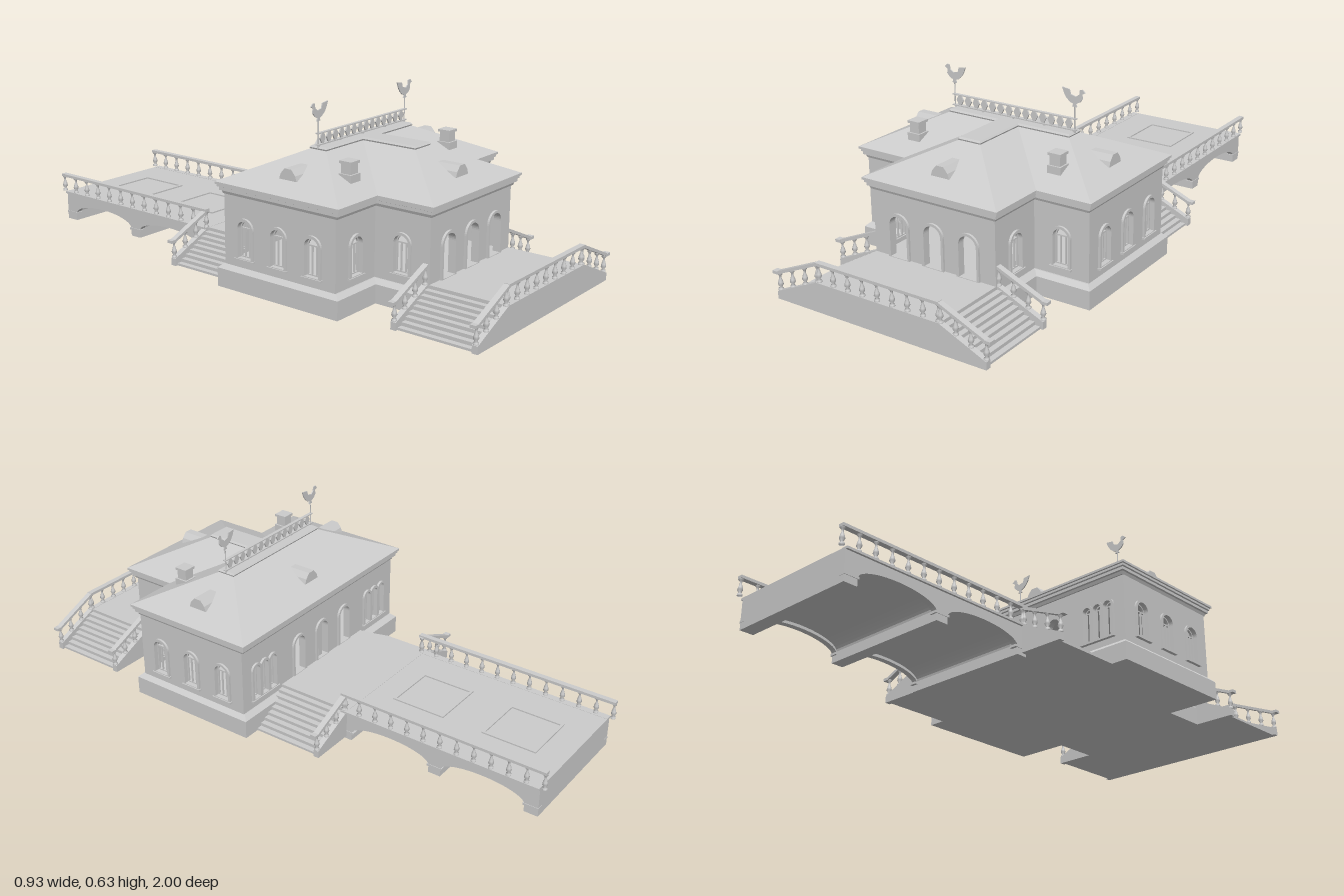
import * as THREE from 'three';

const mat = new THREE.MeshStandardMaterial({ color: 0xcccccc, side: THREE.DoubleSide });
const V = (x, y, z) => new THREE.Vector3(x, y, z);

function add(parent, name, geo, x = 0, y = 0, z = 0) {
  const m = new THREE.Mesh(geo, mat);
  m.name = name;
  m.position.set(x, y, z);
  parent.add(m);
  return m;
}
const box = (p, name, w, h, d, x, y, z) => add(p, name, new THREE.BoxGeometry(w, h, d), x, y, z);
const poly = pts => new THREE.Shape(pts.map(p => new THREE.Vector2(...p)));
const extrude = (shape, depth) =>
  new THREE.ExtrudeGeometry(shape, { depth, bevelEnabled: false, curveSegments: 10 });

// Square bar running from a to b
function bar(p, name, a, b, w, h) {
  const m = box(p, name, w, h, a.distanceTo(b), 0, 0, 0);
  m.position.copy(a).lerp(b, 0.5);
  m.lookAt(b);
}

// T-shaped footprint, inset by d from the eaves
function footprint(d) {
  const mx = 0.465 - d, wx = 0.265 - d, back = -0.02 - d, front = -0.53 + d, wing = -0.74 + d;
  return [[-wx, wing], [wx, wing], [wx, front], [mx, front], [mx, back], [-mx, back], [-mx, front], [-wx, front]]
    .map(p => new THREE.Vector2(...p));
}

// Solid through T footprints, levels = [height, inset]
function loft(levels) {
  const pos = [], rings = levels.map(([y, d]) => footprint(d).map(p => V(p.x, y, -p.y)));
  const tri = (...vs) => vs.forEach(v => pos.push(v.x, v.y, v.z));
  for (let k = 0; k + 1 < rings.length; k++) {
    const a = rings[k], b = rings[k + 1];
    for (let i = 0; i < 8; i++) {
      const j = (i + 1) % 8;
      tri(a[i], a[j], b[j]);
      tri(a[i], b[j], b[i]);
    }
  }
  const top = rings[rings.length - 1], low = rings[0];
  for (const [a, b, c] of THREE.ShapeUtils.triangulateShape(footprint(levels[levels.length - 1][1]), []))
    tri(top[a], top[b], top[c]);
  for (const [a, b, c] of THREE.ShapeUtils.triangulateShape(footprint(levels[0][1]), []))
    tri(low[c], low[b], low[a]);
  const g = new THREE.BufferGeometry();
  g.setAttribute('position', new THREE.Float32BufferAttribute(pos, 3));
  g.computeVertexNormals();
  return g;
}

// Round-headed outline, e = growth on all sides
function arch(P, x, w, y0, y1, e = 0) {
  const r = w / 2 + e, s = new P();
  s.moveTo(x - r, y0 - e);
  s.lineTo(x + r, y0 - e);
  s.lineTo(x + r, y1 - w / 2);
  s.absarc(x, y1 - w / 2, r, 0, Math.PI, false);
  s.lineTo(x - r, y0 - e);
  return s;
}

// Wall with arched openings, outer face on local z = 0
function wall(parent, name, length, x, z, turn, openings) {
  const g = new THREE.Group();
  g.name = name;
  g.position.set(x, 0, z);
  g.rotation.y = turn;
  parent.add(g);
  const h = length / 2;
  const s = poly([[-h, 0.085], [h, 0.085], [h, 0.345], [-h, 0.345]]);
  for (const [ox, w, y0, y1, glazed] of openings) {
    s.holes.push(arch(THREE.Path, ox, w, y0, y1));
    const surround = arch(THREE.Shape, ox, w, y0, y1, 0.009);
    surround.holes.push(arch(THREE.Path, ox, w, y0, y1));
    add(g, 'surround', extrude(surround, 0.008));
    if (!glazed) continue;
    const sash = arch(THREE.Shape, ox, w, y0, y1);
    sash.holes.push(arch(THREE.Path, ox, w, y0, y1, -0.004));
    add(g, 'sash', extrude(sash, 0.006), 0, 0, -0.015);
    const spring = y1 - w / 2;
    box(g, 'transom', w, 0.005, 0.006, ox, spring, -0.012);
    for (const k of w > 0.05 ? [-1, 1] : [0])
      box(g, 'mullion', 0.004, spring - y0, 0.006, ox + k * w / 6, (spring + y0) / 2, -0.012);
    box(g, 'sill', w + 0.024, 0.007, 0.012, ox, y0 - 0.006, 0.006);
  }
  add(g, 'wallPanel', extrude(s, 0.02), 0, 0, -0.02);
}

const balusterGeo = new THREE.LatheGeometry(
  [[0.009, 0], [0.009, 0.006], [0.004, 0.01], [0.0095, 0.02], [0.008, 0.028], [0.0035, 0.042], [0.004, 0.05], [0.008, 0.054], [0.008, 0.06]]
    .map(p => new THREE.Vector2(...p)), 8);

// Handrail with n evenly spaced balusters; a and b lie on the base line
function balustrade(p, a, b, n, skipFirst = false) {
  const up = V(0, 0.063, 0);
  bar(p, 'handrail', a.clone().add(up), b.clone().add(up), 0.02, 0.01);
  for (let i = skipFirst ? 1 : 0; i < n; i++) {
    const q = a.clone().lerp(b, (i + 0.1) / (n - 0.8));
    add(p, 'baluster', balusterGeo, q.x, q.y, q.z);
  }
}

// Platform with a flight of steps down both sides
function terrace(p, name, z0, z1) {
  const n = 8, right = [[0.4, 0.01]];
  for (let i = n; i > 0; i--) {
    const x = 0.24 + 0.16 * i / n, y = 0.11 - 0.092 * i / n;
    right.push([x, y], [x - 0.16 / n, y]);
  }
  right.push([0.24, 0.11]);
  const left = right.map(([x, y]) => [-x, y]).reverse();
  add(p, name, extrude(poly([...right, ...left]), z1 - z0), 0, 0, z0);
}

// Stair parapet with sloping rails on both sides
function stairParapet(p, z) {
  add(p, 'stairParapet', extrude(poly([[-0.41, 0.01], [0.41, 0.01], [0.41, 0.036], [0.24, 0.111], [-0.24, 0.111], [-0.41, 0.036]]), 0.02), 0, 0, z - 0.01);
  for (const s of [-1, 1]) {
    balustrade(p, V(s * 0.235, 0.111, z), V(s * 0.41, 0.036, z), 4);
    box(p, 'railEnd', 0.022, 0.01, 0.022, s * 0.415, 0.1, z);
  }
}

// Bridge section along z, with two arches
function bridgeShape(spring, rise) {
  const s = new THREE.Shape();
  s.moveTo(-0.98, 0);
  for (const z of [-0.93, -0.575]) {
    s.lineTo(z, 0);
    s.lineTo(z, spring);
    s.absellipse(z + 0.155, spring, 0.155, rise, Math.PI, 0, true);
    s.lineTo(z + 0.31, 0);
  }
  s.lineTo(-0.225, 0);
  s.lineTo(-0.225, 0.11);
  s.lineTo(-0.98, 0.11);
  return s;
}

export function createModel() {
  const model = new THREE.Group();
  model.name = 'pavilion';

  // Plinth, cornice and roof
  add(model, 'plinth', loft([[0.01, 0.004], [0.075, 0.004], [0.09, 0.02], [0.09, 0.03], [0.11, 0.03]]));
  add(model, 'cornice', loft([[0.33, 0.02], [0.34, 0.016], [0.342, 0.01], [0.352, 0.01], [0.354, 0.005], [0.362, 0.005], [0.363, 0]]));
  add(model, 'roof', loft([[0.363, 0], [0.371, 0], [0.48, 0.235]]));
  add(model, 'ridgeCap', loft([[0.474, 0.222], [0.479, 0.22], [0.485, 0.225]]));

  // Walls
  const win = x => [x, 0.056, 0.125, 0.252, true];
  const door = (x, w) => [x, w, 0.112, 0.256, false];
  wall(model, 'wingFrontWall', 0.48, 0, 0.715, 0, [-0.138, 0, 0.138].map(x => door(x, 0.068)));
  const rear = [-0.135, 0, 0.135].map(x => door(x, 0.058));
  for (const x of [0.285, 0.33, 0.375])
    for (const s of [-1, 1]) rear.push([s * x, 0.032, 0.125, 0.252, true]);
  wall(model, 'backWall', 0.89, 0, 0.045, Math.PI, rear);
  box(model, 'rearDoorPost', 0.02, 0.14, 0.01, 0, 0.18, 0.055);
  for (const s of [-1, 1]) {
    wall(model, 'mainFrontWall', 0.205, s * 0.3425, 0.505, 0, [win(0)]);
    wall(model, 'sideWall', 0.46, s * 0.445, 0.275, s * Math.PI / 2, [-0.14, 0, 0.14].map(win));
    wall(model, 'wingSideWall', 0.21, s * 0.24, 0.61, s * Math.PI / 2, [win(0)]);
  }

  // Dormers: half-round vents on the four slopes
  const dormerGeo = extrude(poly([[-0.036, 0], [0.036, 0], [0.03, 0.018], [0.014, 0.037], [-0.014, 0.037], [-0.03, 0.018]]), 0.09);
  for (const [x, z, turn] of [[0, 0.672, 0], [0, 0.088, Math.PI], [0.397, 0.275, Math.PI / 2], [-0.397, 0.275, -Math.PI / 2]]) {
    const d = add(model, 'dormer', dormerGeo.clone().translate(0, 0, -0.09), x, 0.404, z);
    d.rotation.y = turn;
  }

  // Chimneys
  for (const s of [-1, 1]) {
    box(model, 'chimneyBase', 0.05, 0.028, 0.05, s * 0.282, 0.417, 0.432);
    box(model, 'chimneyShaft', 0.038, 0.06, 0.038, s * 0.282, 0.44, 0.432);
    box(model, 'chimneyCap', 0.048, 0.009, 0.048, s * 0.282, 0.469, 0.432);
  }

  // Ridge balustrade with diamond-shaped pickets
  const rz = 0.275;
  for (const y of [0.491, 0.529]) box(model, 'ridgeRail', 0.5, 0.004, 0.012, 0, y, rz);
  const picket = extrude(poly([[-0.005, 0], [0.005, 0], [0.014, 0.018], [0.005, 0.035], [-0.005, 0.035], [-0.014, 0.018]]), 0.005);
  for (let i = 0; i < 14; i++) add(model, 'ridgePicket', picket, -0.221 + i * 0.034, 0.493, rz - 0.0025);
  for (const x of [-0.24, -0.125, 0, 0.125, 0.24]) box(model, 'ridgeSupport', 0.006, 0.012, 0.006, x, 0.486, rz);

  // Weathervanes: flat roosters facing outward
  const rooster = extrude(poly([[-0.04, 0.622], [-0.03, 0.632], [-0.02, 0.63], [-0.018, 0.615], [-0.005, 0.605], [0.015, 0.61], [0.02, 0.626],
    [0.048, 0.63], [0.04, 0.61], [0.03, 0.595], [0.015, 0.583], [0.005, 0.58], [0.009, 0.57], [-0.009, 0.57], [-0.005, 0.58],
    [-0.02, 0.588], [-0.03, 0.6], [-0.028, 0.615]]), 0.004).translate(0, 0, -0.002);
  for (const s of [-1, 1]) {
    add(model, 'vanePole', new THREE.CylinderGeometry(0.002, 0.002, 0.1, 6), s * 0.243, 0.53, rz);
    add(model, 'vaneRooster', rooster, s * 0.243, 0, rz).rotation.y = s > 0 ? Math.PI : 0;
  }

  // Front and rear terraces with stairs
  terrace(model, 'frontTerrace', 0.69, 0.98);
  terrace(model, 'rearTerrace', -0.23, 0.04);
  for (const z of [0.988, 0.7, -0.235]) stairParapet(model, z);
  balustrade(model, V(-0.24, 0.111, 0.988), V(0.24, 0.111, 0.988), 9);

  // Arched bridge behind
  const along = (shape, w, x) => extrude(shape, w).rotateY(-Math.PI / 2).translate(x + w / 2, 0, 0);
  add(model, 'bridgeVault', along(bridgeShape(0.035, 0.045), 0.46, 0));
  for (const s of [-1, 1]) {
    add(model, 'bridgeFascia', along(bridgeShape(0.028, 0.042), 0.022, s * 0.236));
    box(model, 'bridgeEdge', 0.026, 0.008, 0.755, s * 0.242, 0.107, -0.6025);
    for (const z of [-0.953, -0.5975, -0.247]) box(model, 'pierCapital', 0.026, 0.008, 0.056, s * 0.236, 0.028, z);
    balustrade(model, V(s * 0.245, 0.111, -0.225), V(s * 0.245, 0.111, -1), 13);
  }

  // Raised frames on the bridge deck
  for (const z of [-0.78, -0.43])
    for (const k of [-1, 1]) {
      box(model, 'deckFrame', 0.2, 0.006, 0.009, -0.01, 0.112, z + k * 0.096);
      box(model, 'deckFrame', 0.009, 0.006, 0.2, -0.01 + k * 0.096, 0.112, z);
    }
  return model;
}
